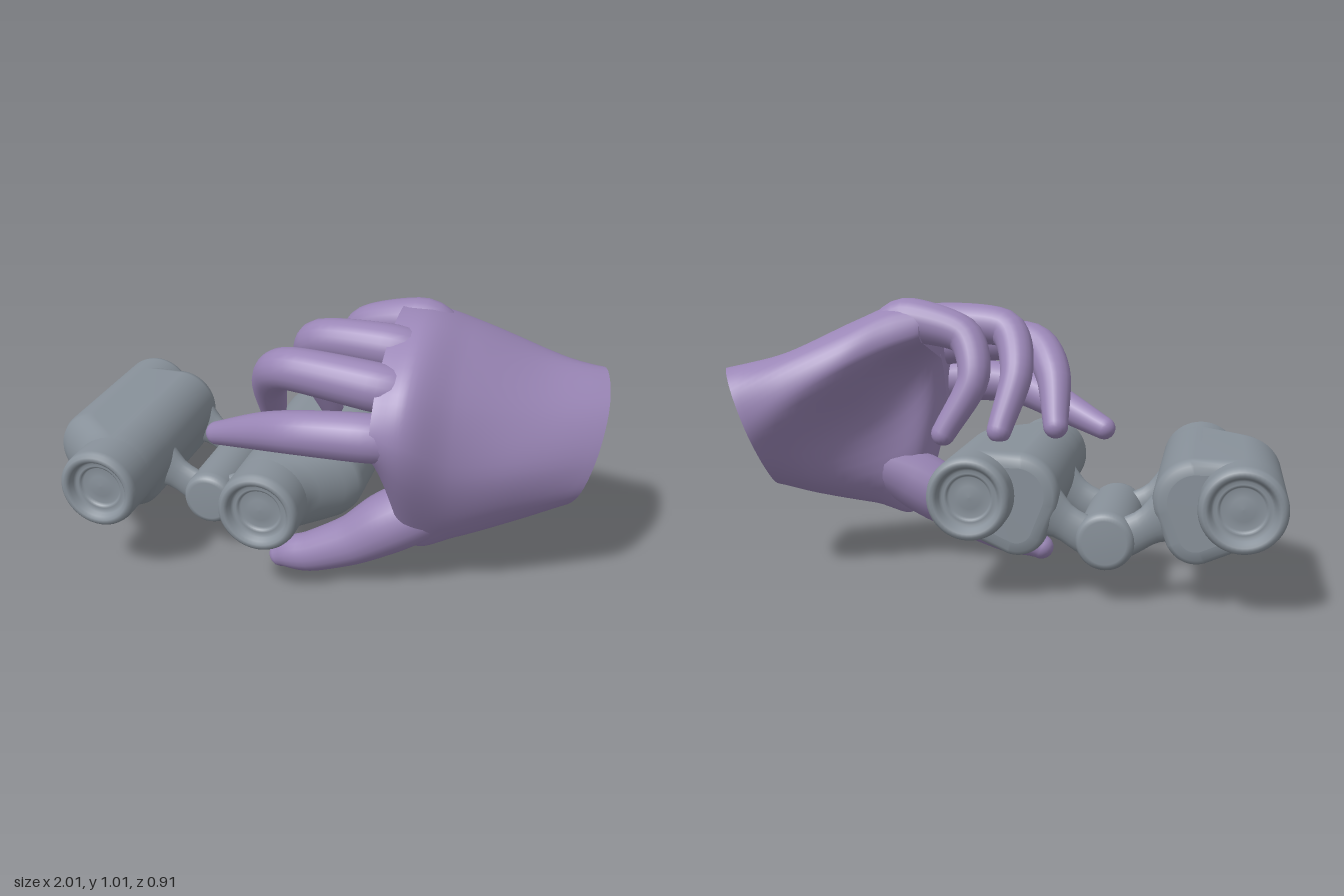
import * as THREE from 'three';

const V = (x, y, z) => new THREE.Vector3(x, y, z);
const metal = new THREE.MeshStandardMaterial({ color: 0x88919a });
const skin = new THREE.MeshStandardMaterial({ color: 0x9a86b6 });

function add(parent, name, geometry, material) {
  const mesh = new THREE.Mesh(geometry, material);
  mesh.name = name;
  parent.add(mesh);
  return mesh;
}

// Skin over a row of closed rings, with a flat cap on each end
function loft(rings) {
  const n = rings[0].length, m = rings.length, pos = [], index = [];
  const push = (p) => pos.push(p.x, p.y, p.z);
  rings.forEach((r) => r.forEach(push));
  for (let i = 0; i < m - 1; i++) {
    for (let j = 0; j < n; j++) {
      const a = i * n + j, b = i * n + ((j + 1) % n);
      index.push(a, b, a + n, b, b + n, a + n);
    }
  }
  [rings[0], rings[m - 1]].forEach((ring, end) => {
    const base = pos.length / 3;
    ring.forEach(push);
    push(ring.reduce((s, p) => s.add(p), V(0, 0, 0)).divideScalar(n));
    for (let j = 0; j < n; j++) {
      const a = base + j, b = base + ((j + 1) % n);
      if (end) index.push(base + n, a, b);
      else index.push(base + n, b, a);
    }
  });
  const g = new THREE.BufferGeometry();
  g.setAttribute('position', new THREE.Float32BufferAttribute(pos, 3));
  g.setIndex(index);
  g.computeVertexNormals();
  return g;
}

// Rounded limb along a curve; each point is [x, y, z, radius]
function limb(points, steps = 36, sides = 20) {
  const curve = new THREE.CatmullRomCurve3(points.map((p) => V(p[0], p[1], p[2])), false, 'catmullrom', 0.4);
  const radii = new THREE.CatmullRomCurve3(points.map((p) => V(p[3], 0, 0)), false, 'catmullrom', 0.4);
  const frames = curve.computeFrenetFrames(steps);
  const ring = (i, r, shift) => {
    const c = curve.getPointAt(i / steps).addScaledVector(frames.tangents[i], shift);
    return Array.from({ length: sides }, (_, j) => {
      const a = (j / sides) * Math.PI * 2;
      return c.clone().addScaledVector(frames.normals[i], Math.cos(a) * r)
        .addScaledVector(frames.binormals[i], Math.sin(a) * r);
    });
  };
  const rings = [];
  for (let i = 0; i <= steps; i++) {
    rings.push(ring(i, radii.getPoint(curve.getUtoTmapping(i / steps)).x, 0));
  }
  const tip = points[points.length - 1][3];
  for (let k = 1; k <= 6; k++) {
    const a = (k / 6) * 1.52;
    rings.push(ring(steps, tip * Math.cos(a), tip * Math.sin(a)));
  }
  return loft(rings);
}

// Outline of the hull around circles [x, y, radius]
function hullRing(circles, z, inset) {
  const n = 72;
  return Array.from({ length: n }, (_, j) => {
    const a = (j / n) * Math.PI * 2, dx = Math.cos(a), dy = Math.sin(a);
    const reach = (c) => c[0] * dx + c[1] * dy + c[2];
    const c = circles.reduce((p, q) => (reach(q) > reach(p) ? q : p));
    return V(c[0] + dx * (c[2] - inset), c[1] + dy * (c[2] - inset), z);
  });
}

function lathe(profile, sides = 48) {
  return new THREE.LatheGeometry(profile.map((p) => new THREE.Vector2(p[0], p[1])), sides);
}

function makeBinoculars() {
  const group = new THREE.Group();
  group.name = 'binoculars';
  const cx = -0.405, lerp = THREE.MathUtils.lerp;

  // barrel with a rolled rim and a recessed lens
  const barrel = lathe([[0.145, 0], [0.145, 0.425], [0.141, 0.443], [0.13, 0.453], [0.118, 0.454],
    [0.108, 0.446], [0.102, 0.428], [0.094, 0.42], [0.084, 0.424], [0.076, 0.42], [0.07, 0.41],
    [0.04, 0.416], [0, 0.418]]);
  // hinge arm, flared where it meets the housing
  const armShape = lathe([[0.037, -0.1], [0.038, -0.06], [0.037, -0.03], [0.036, 0],
    [0.038, 0.03], [0.045, 0.06], [0.054, 0.095]], 24);

  for (const [side, s] of [['left', 1], ['right', -1]]) {
    const eye = add(group, side + 'Eyepiece', barrel, metal);
    eye.rotation.x = Math.PI / 2;
    eye.position.set(cx + s * 0.3, 0.37, 0);
    const objective = add(group, side + 'Objective', barrel, metal);
    objective.rotation.x = -Math.PI / 2;
    objective.position.set(cx + s * 0.45, 0.37, 0);

    // prism housing: [z, inset, taper towards the eyepiece]
    const stations = [[-0.362, 0.05, 0], [-0.358, 0.02, 0], [-0.345, 0.005, 0], [-0.32, 0, 0],
      [0.13, 0, 0], [0.16, 0, 0.07], [0.2, 0, 0.32], [0.27, 0, 0.8], [0.31, 0, 0.97], [0.34, 0.003, 1]];
    const rings = stations.map(([z, inset, k]) => hullRing([
      [cx + s * lerp(0.45, 0.3, k), 0.37, 0.145],
      [cx + s * 0.3, 0.37, 0.145],
      [cx + s * 0.3, lerp(0.26, 0.33, k), 0.105],
    ], z, inset));
    add(group, side + 'Housing', loft(rings), metal);

    for (const z of [-0.305, 0.085]) {
      const arm = add(group, side + 'Arm', armShape, metal);
      arm.position.set(cx + s * 0.125, 0.263, z);
      arm.rotation.z = -s * 1.05;
      arm.scale.set(1.75, 1, 0.95);
    }
  }

  // central hinge
  const hinge = add(group, 'hinge', lathe([[0, -0.26], [0.075, -0.26], [0.09, -0.255], [0.099, -0.24],
    [0.102, -0.22], [0.102, 0.22], [0.099, 0.24], [0.09, 0.255], [0.075, 0.26], [0, 0.26]]), metal);
  hinge.rotation.x = Math.PI / 2;
  hinge.position.set(cx, 0.22, -0.1);
  return group;
}

function makeHand() {
  const group = new THREE.Group();
  group.name = 'hand';

  // palm sections from wrist to knuckles, hollow on the inside:
  // x, lean by y, lean by z, then [z, y] round the outline
  const sections = [
    [0.925, 0.37, 0.32, [[-0.03, 0.31], [0.065, 0.4], [0.05, 0.54], [-0.07, 0.7], [-0.24, 0.765], [-0.33, 0.7], [-0.345, 0.57], [-0.28, 0.45], [-0.15, 0.34]]],
    [0.73, 0.12, 0.1, [[0.04, 0.255], [0.16, 0.36], [0.2, 0.54], [0.09, 0.72], [-0.13, 0.82], [-0.3, 0.79], [-0.345, 0.66], [-0.22, 0.48], [-0.1, 0.32]]],
    [0.53, 0, 0, [[0.12, 0.205], [0.23, 0.3], [0.33, 0.55], [0.26, 0.78], [0, 0.93], [-0.24, 0.89], [-0.3, 0.77], [-0.05, 0.57], [0, 0.31]]],
    [0.39, 0, 0, [[0.16, 0.17], [0.25, 0.28], [0.425, 0.64], [0.36, 0.84], [0.09, 0.985], [-0.16, 0.96], [-0.22, 0.84], [0.09, 0.69], [0.08, 0.34]]],
    [0.28, 0, 0, [[0.27, 0.56], [0.34, 0.56], [0.43, 0.67], [0.36, 0.83], [0.12, 0.97], [-0.12, 0.98], [-0.16, 0.88], [0.13, 0.8], [0.24, 0.64]]],
  ];
  const around = 54, along = 28;
  const outlines = sections.map(([x, leanY, leanZ, pts]) => new THREE.CatmullRomCurve3(
    pts.map(([z, y]) => V(x + leanY * (y - 0.54) + leanZ * (z + 0.14), y, z)), true));
  const spines = Array.from({ length: around }, (_, j) => new THREE.CatmullRomCurve3(
    outlines.map((c) => c.getPoint(j / around))));
  const rings = Array.from({ length: along + 1 }, (_, i) => spines.map((c) => c.getPoint(i / along)));
  add(group, 'palm', loft(rings), skin);

  // fingers and thumb, rooted inside the palm
  const digits = {
    indexFinger: [[0.58, 0.58, 0.15, 0.03], [0.42, 0.64, 0.29, 0.07], [0.26, 0.67, 0.36, 0.083],
      [0.02, 0.655, 0.355, 0.076], [-0.15, 0.6, 0.275, 0.066], [-0.345, 0.52, 0.175, 0.043]],
    middleFinger: [[0.58, 0.72, 0.1, 0.03], [0.42, 0.78, 0.22, 0.07], [0.28, 0.82, 0.285, 0.083],
      [-0.05, 0.835, 0.245, 0.074], [-0.155, 0.73, 0.13, 0.066], [-0.185, 0.55, 0.01, 0.046]],
    ringFinger: [[0.58, 0.78, 0, 0.03], [0.42, 0.86, 0.09, 0.07], [0.29, 0.905, 0.135, 0.08],
      [0.02, 0.895, 0.1, 0.07], [-0.045, 0.75, -0.02, 0.06], [0, 0.55, -0.12, 0.045]],
    littleFinger: [[0.58, 0.8, -0.15, 0.03], [0.43, 0.9, -0.09, 0.065], [0.34, 0.935, -0.075, 0.08],
      [0.13, 0.885, -0.11, 0.066], [0.08, 0.74, -0.18, 0.056], [0.18, 0.55, -0.22, 0.043]],
    thumb: [[0.62, 0.42, 0.06, 0.07], [0.42, 0.32, 0.14, 0.11], [0.29, 0.245, 0.165, 0.113], [0.17, 0.165, 0.182, 0.093],
      [0.02, 0.093, 0.185, 0.076], [-0.06, 0.07, 0.18, 0.065], [-0.11, 0.047, 0.17, 0.047]],
  };
  for (const [name, points] of Object.entries(digits)) add(group, name, limb(points), skin);
  return group;
}

export function createModel() {
  const model = new THREE.Group();
  model.name = 'handHoldingBinoculars';
  model.add(makeBinoculars(), makeHand());
  return model;
}
